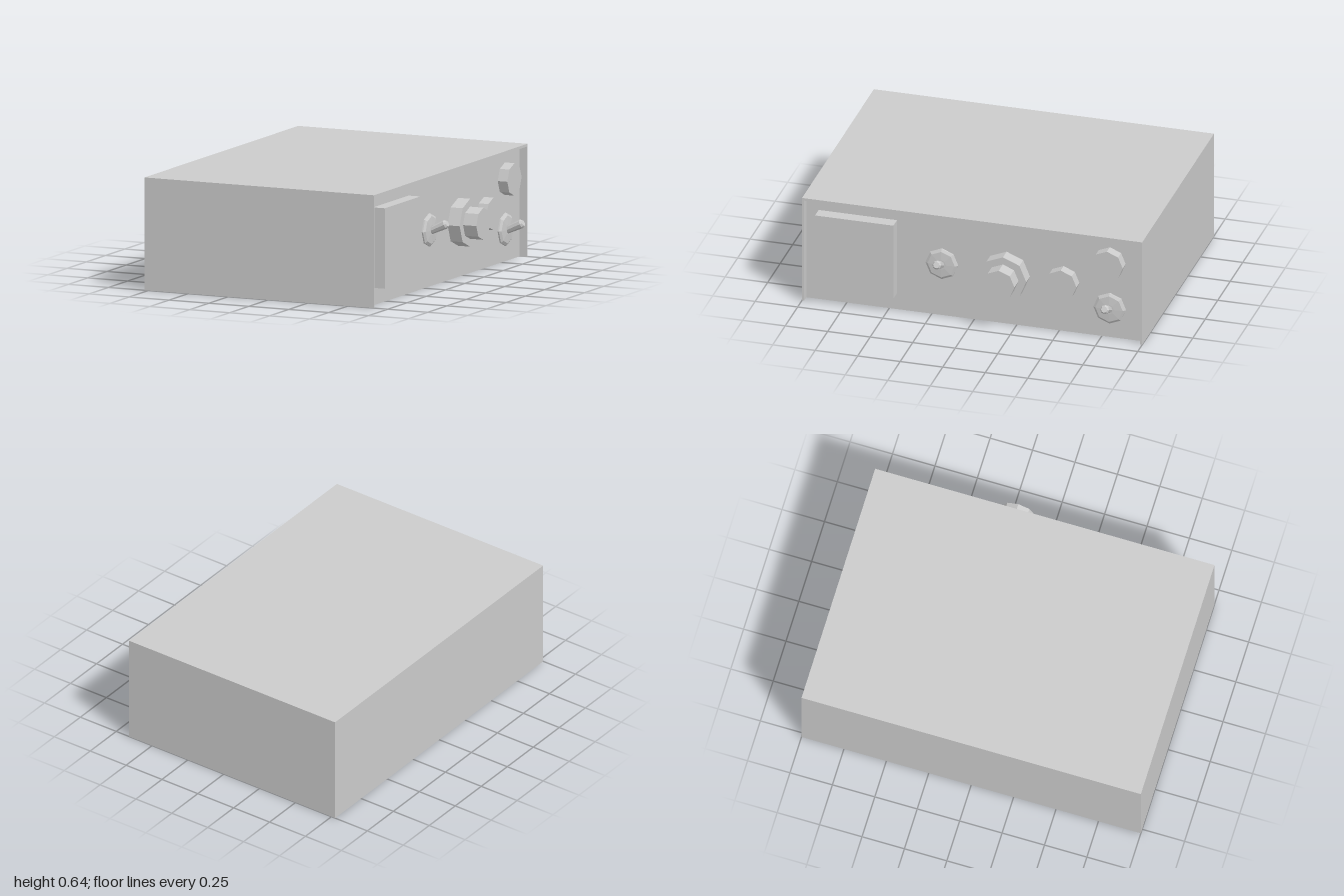
import * as THREE from 'three';

const material = new THREE.MeshStandardMaterial({ color: 0xcccccc, flatShading: true });
const PANEL_X = 0.617; // recessed control panel plane

function add(parent, name, geometry, x = 0, y = 0, z = 0) {
  const mesh = new THREE.Mesh(geometry, material);
  mesh.name = name;
  mesh.position.set(x, y, z);
  parent.add(mesh);
  return mesh;
}

// Eight-sided solid of revolution around the x axis; profile is [radius, x] pairs
function octagonal(profile) {
  const points = profile.map(([r, h]) => new THREE.Vector2(r, h));
  return new THREE.LatheGeometry(points, 8).rotateZ(-Math.PI / 2);
}

const disc = (r, h) => octagonal([[0, 0], [r, 0], [r, h], [0, h]]);

// Toggle switch: bevelled washer with a lever tilted upwards
function toggleSwitch(y, z) {
  const group = new THREE.Group();
  group.name = 'toggleSwitch';
  group.position.set(PANEL_X, y, z);
  add(group, 'washer', octagonal([[0, 0], [0.095, 0], [0.095, 0.008], [0.08, 0.018], [0.03, 0.022], [0, 0.022]]));
  const lever = add(group, 'lever',
    octagonal([[0, 0], [0.02, 0], [0.026, 0.11], [0.018, 0.122], [0, 0.122]]), 0.005, -0.008, 0);
  lever.rotation.z = 0.44;
  return group;
}

export function createModel() {
  const model = new THREE.Group();
  model.name = 'controlBox';

  // Outer cover: inverted U whose lip overhangs the panel
  const cover = new THREE.Shape();
  [[-1, 0], [-0.988, 0], [-0.988, 0.63], [0.988, 0.63], [0.988, 0], [1, 0], [1, 0.645], [-1, 0.645]]
    .forEach(([u, v], i) => (i ? cover.lineTo(u, v) : cover.moveTo(u, v)));
  const coverGeometry = new THREE.ExtrudeGeometry(cover, { depth: 1.437, bevelEnabled: false });
  add(model, 'cover', coverGeometry.rotateY(Math.PI / 2), -0.775);

  // Closed body whose +x face is the control panel
  const bodyLength = PANEL_X + 0.775;
  add(model, 'body', new THREE.BoxGeometry(bodyLength, 0.63, 1.976), (PANEL_X - 0.775) / 2, 0.315, 0);

  // Display
  add(model, 'display', new THREE.BoxGeometry(0.073, 0.46, 0.46), PANEL_X + 0.0365, 0.33, 0.685);

  // Main knob on its stepped base
  add(model, 'knobBase', disc(0.137, 0.075), PANEL_X, 0.315, -0.19);
  add(model, 'knob', disc(0.092, 0.158), PANEL_X, 0.315, -0.19);

  // Small round buttons
  for (const [y, z] of [[0.315, -0.525], [0.472, -0.797]]) {
    add(model, 'button', disc(0.093, 0.06), PANEL_X, y, z);
  }

  // Toggle switches
  model.add(toggleSwitch(0.325, 0.19), toggleSwitch(0.183, -0.797));

  return model;
}
